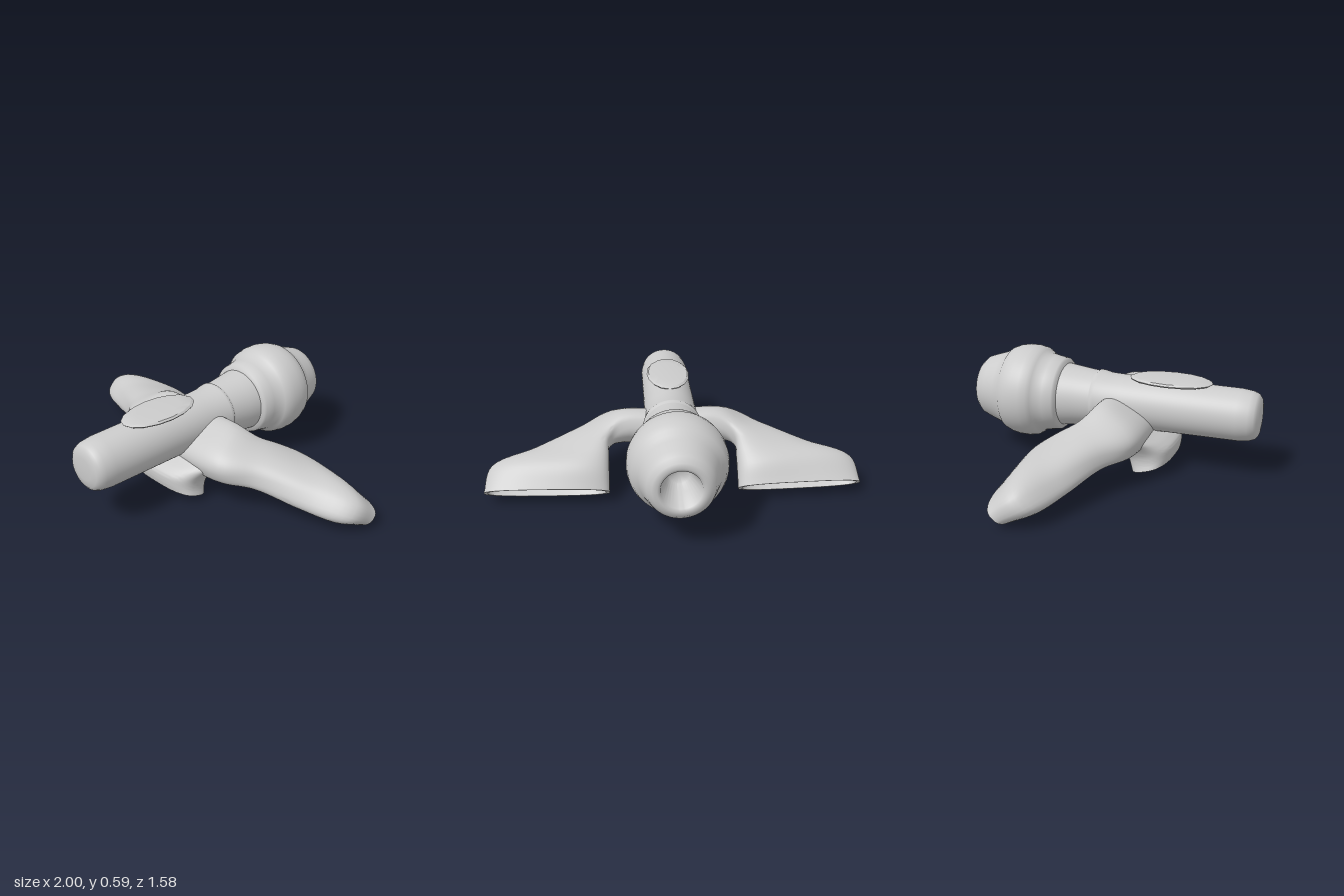
import * as THREE from 'three';
import { toCreasedNormals } from 'three/addons/utils/BufferGeometryUtils.js';

const material = new THREE.MeshStandardMaterial({ color: 0xcccccc });
const shellMaterial = new THREE.MeshStandardMaterial({ color: 0xcccccc, side: THREE.DoubleSide });
const AXIS_Y = 0.345;

function part(name, geometry, mat = material) {
  const mesh = new THREE.Mesh(geometry, mat);
  mesh.name = name;
  return mesh;
}

// Lofts rounded sections. Each key: [edge A xyz, edge B xyz, half thickness y, z].
function loft(keys, side = 1, power = 2.7, steps = 6, segments = 48) {
  const curve = (i) => new THREE.CatmullRomCurve3(
    keys.map((k) => new THREE.Vector3(k[i], k[i + 1], k[i + 2] ?? 0)));
  const edgeA = curve(0), edgeB = curve(3), thick = curve(6);
  const pos = [], index = [];
  const addRing = (t, scale) => {
    const a = edgeA.getPoint(t), b = edgeB.getPoint(t), v = thick.getPoint(t);
    const c = a.clone().add(b).multiplyScalar(0.5);
    const u = b.clone().sub(a).multiplyScalar(0.5 * scale);
    for (let i = 0; i < segments; i++) {
      const angle = (i / segments) * Math.PI * 2;
      const round = (n) => Math.sign(n) * Math.abs(n) ** (2 / power);
      const p = round(Math.cos(angle)), q = round(Math.sin(angle)) * scale;
      pos.push((c.x + u.x * p) * side, c.y + u.y * p + v.x * q, c.z + u.z * p + v.y * q);
    }
  };
  const count = (keys.length - 1) * steps;
  for (let i = 0; i <= count; i++) addRing(i / count, 1);
  // hollow mouth: thin rim, then inner walls closing to a floor
  const last = 1 / (keys.length - 1);
  [[0, 0.94], [0.5, 0.89], [1, 0.8], [1.3, 0.5], [1.4, 0.02]].forEach(([d, s]) => addRing(1 - d * last, s));
  for (let r = 0; r < count + 5; r++) {
    for (let i = 0; i < segments; i++) {
      const a = r * segments + i, b = r * segments + (i + 1) % segments;
      const c = a + segments, d = b + segments;
      if (side > 0) index.push(a, b, c, b, d, c);
      else index.push(a, c, b, b, c, d);
    }
  }
  const g = new THREE.BufferGeometry();
  g.setAttribute('position', new THREE.Float32BufferAttribute(pos, 3));
  g.setIndex(index);
  return toCreasedNormals(g, 0.7);
}

export function createModel() {
  const group = new THREE.Group();

  // barrel, neck and bulbous rear head with a conical socket: [radius, z]
  const profile = [
    [0.001, -0.62], [0.05, -0.63], [0.07, -0.68], [0.1, -0.785], [0.115, -0.792],
    [0.14, -0.785], [0.165, -0.76], [0.18, -0.72], [0.2, -0.66], [0.212, -0.625],
    [0.232, -0.608], [0.247, -0.57], [0.254, -0.53], [0.254, -0.48], [0.246, -0.44],
    [0.232, -0.42], [0.217, -0.405], [0.207, -0.36], [0.199, -0.308], [0.19, -0.298],
    [0.171, -0.29], [0.162, -0.22], [0.149, -0.115], [0.149, -0.11], [0.157, -0.1],
    [0.155, -0.085], [0.146, -0.04], [0.143, 0.05], [0.14, 0.3], [0.138, 0.68],
    [0.131, 0.74], [0.119, 0.77], [0.1, 0.784], [0.06, 0.79], [0.001, 0.792],
  ].map(([r, z]) => new THREE.Vector2(r, z));
  const body = new THREE.LatheGeometry(profile, 64).rotateX(Math.PI / 2).translate(0, AXIS_Y, 0);
  group.add(part('barrelAndHead', toCreasedNormals(body, 1)));

  // lens-shaped thumb pad on top of the barrel
  const lens = [[0.001, -0.016], [0.7, -0.016], [0.95, -0.008], [1, 0], [0.92, 0.009], [0.6, 0.014], [0.001, 0.016]]
    .map(([r, y]) => new THREE.Vector2(r, y));
  const pad = new THREE.LatheGeometry(lens, 16).scale(0.12, 1, 0.227).translate(0, 0.492, 0.305);
  group.add(part('thumbPad', toCreasedNormals(pad, 0.5)));

  // swept wings, each ending in a long hollow mouth facing down and back
  const wing = [
    [0, 0.335, -0.06, 0, 0.19, 0.225, 0.09, 0.04],
    [0.26, 0.34, -0.06, 0.36, 0.21, 0.215, 0.088, 0.03],
    [0.335, 0.265, -0.1, 0.52, 0.215, 0.1, 0.086, -0.02],
    [0.34, 0.205, -0.16, 0.76, 0.175, -0.02, 0.085, -0.06],
    [0.34, 0.14, -0.22, 0.97, 0.142, -0.125, 0.084, -0.08],
    [0.34, 0.062, -0.28, 1.0, 0.062, -0.255, 0.057, -0.067],
  ];
  group.add(part('leftWing', loft(wing, 1), shellMaterial));
  group.add(part('rightWing', loft(wing, -1), shellMaterial));

  // front foot flaring up into the wings: [half width, centre y, centre z, half depth y, z]
  const foot = [
    [0.36, 0.305, 0.075, -0.03, 0.09],
    [0.31, 0.235, 0.135, -0.01, 0.11],
    [0.25, 0.175, 0.185, 0.012, 0.128],
    [0.218, 0.122, 0.222, 0.03, 0.125],
    [0.215, 0.08, 0.23, 0.032, 0.118],
    [0.225, 0.045, 0.233, 0.032, 0.107],
  ].map(([w, y, z, vy, vz]) => [-w, y, z, w, y, z, vy, vz]);
  group.add(part('frontFoot', loft(foot), shellMaterial));

  return group;
}
